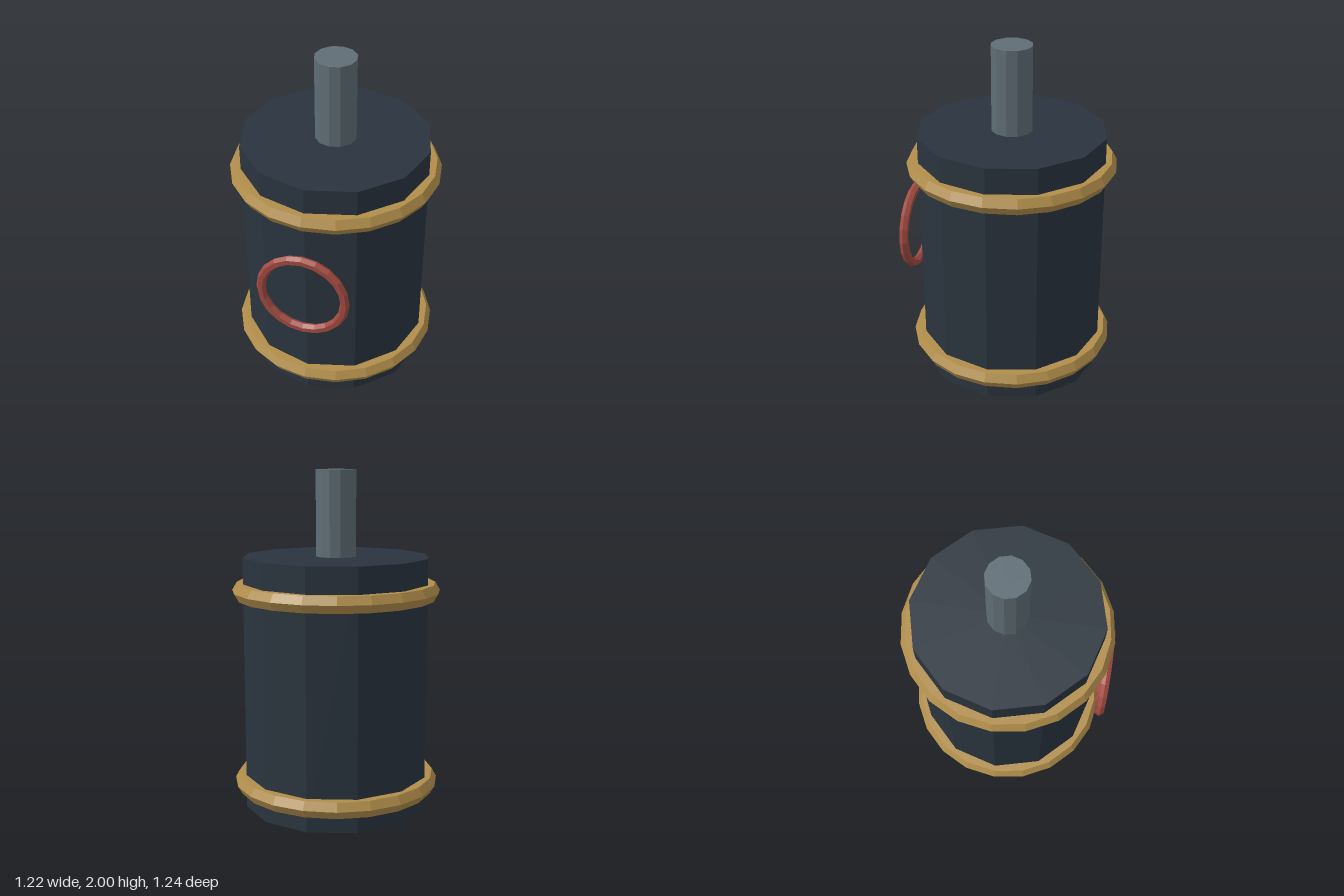
import * as THREE from 'three';

const material = (color) => new THREE.MeshStandardMaterial({ color, flatShading: true });

export function createModel() {
  const model = new THREE.Group();
  model.name = 'canister';

  const dark = material(0x2a343e);
  const steel = material(0x5f6d75);
  const brass = material(0xb08d4a);
  const red = material(0xa04a40);

  const add = (name, geometry, mat, y, z = 0) => {
    const mesh = new THREE.Mesh(geometry, mat);
    mesh.name = name;
    mesh.position.set(0, y, z);
    model.add(mesh);
    return mesh;
  };

  // Twelve-sided drum and the rod standing on its lid
  add('body', new THREE.CylinderGeometry(0.55, 0.55, 1.5, 12), dark, 0.75);
  add('shaft', new THREE.CylinderGeometry(0.12, 0.12, 0.5, 12), steel, 1.75);

  // Hoops around the drum
  for (const [name, y] of [['lowerBand', 0.15], ['upperBand', 1.3]]) {
    add(name, new THREE.TorusGeometry(0.557, 0.055, 6, 20), brass, y).rotation.x = Math.PI / 2;
  }

  // Upright ring just in front of the drum
  add('frontRing', new THREE.TorusGeometry(0.25, 0.028, 6, 20), red, 0.803, 0.6);

  // Centre the overall depth
  model.children.forEach((part) => { part.position.z -= 0.006; });
  return model;
}
